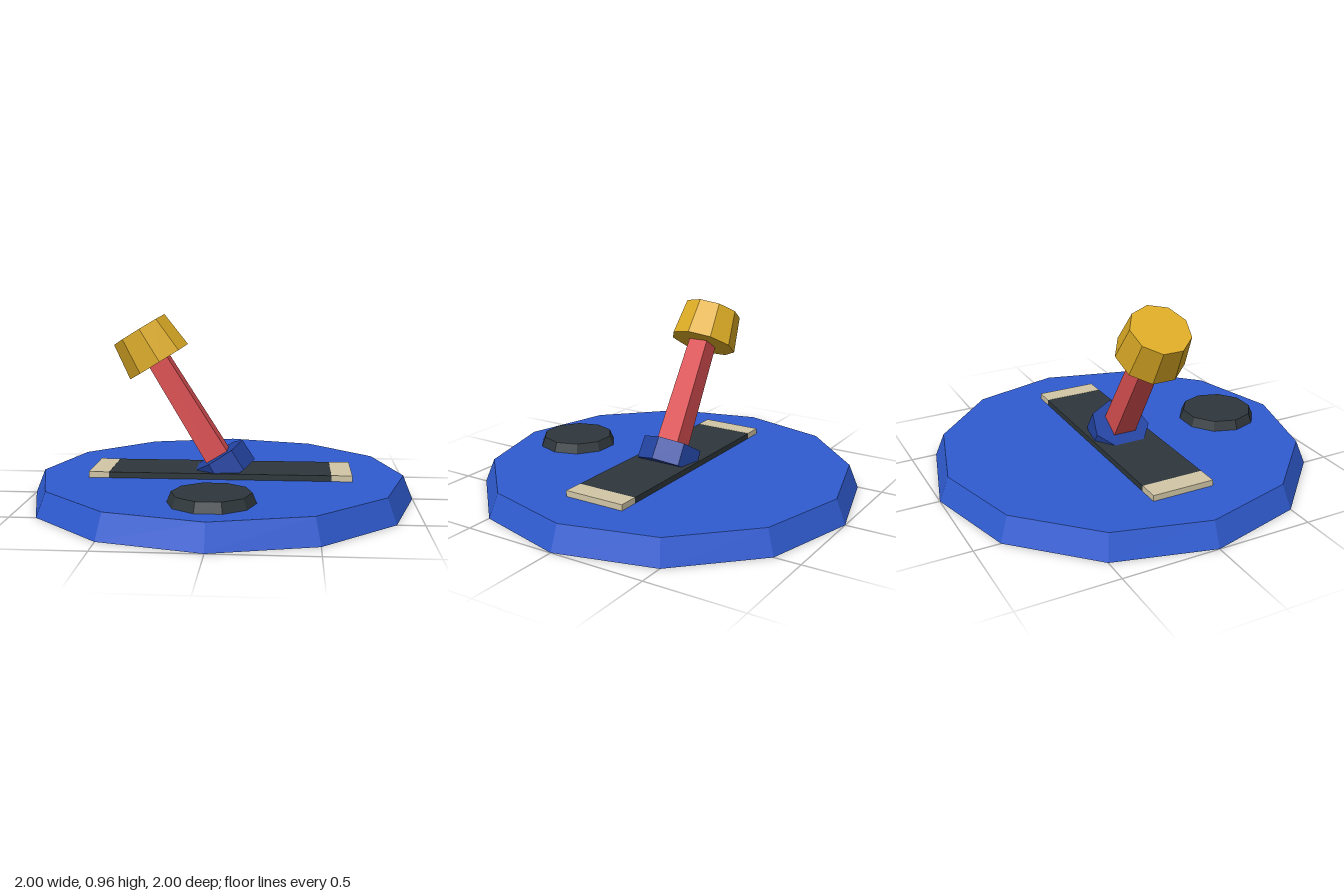
import * as THREE from 'three';

function paint(name, color) {
  const m = new THREE.MeshStandardMaterial({ color, flatShading: true });
  m.name = name;
  return m;
}

export function createModel() {
  const blue = paint('base blue', 0x2f5bd0);
  const navy = paint('collar navy', 0x2343a0);
  const charcoal = paint('charcoal', 0x2f373c);
  const cream = paint('cream', 0xd2c6a6);
  const red = paint('lever red', 0xdc5053);
  const gold = paint('knob gold', 0xdcab26);

  const model = new THREE.Group();
  model.name = 'leverSwitch';

  const add = (parent, name, geometry, material, x, y, z) => {
    const mesh = new THREE.Mesh(geometry, material);
    mesh.name = name;
    mesh.position.set(x, y, z);
    parent.add(mesh);
    return mesh;
  };
  // Tapered prism; start turns the first corner around the axis
  const prism = (top, bottom, height, sides, start) =>
    new THREE.CylinderGeometry(top, bottom, height, sides, 1, false, start);

  // Twelve-sided base
  add(model, 'base', prism(0.95, 1, 0.125, 12, 0), blue, 0, 0.0625, 0);

  // Slot plate with a cream stop at each end
  add(model, 'slotPlate', new THREE.BoxGeometry(1.14, 0.035, 0.33), charcoal, 0, 0.1375, 0);
  for (const side of [-1, 1]) {
    add(model, side > 0 ? 'leftStop' : 'rightStop',
      new THREE.BoxGeometry(0.106, 0.035, 0.33), cream, side * 0.623, 0.1385, 0);
  }

  // Button near the front edge
  add(model, 'button', prism(0.19, 0.21, 0.05, 10, Math.PI / 2), charcoal, 0, 0.15, 0.622);

  // Lever assembly, tilted to the model's right
  const lever = new THREE.Group();
  lever.name = 'lever';
  lever.position.set(0, 0.178, 0);
  lever.rotation.z = 0.55;
  model.add(lever);
  add(lever, 'collar', prism(0.158, 0.161, 0.12, 7, Math.PI / 2), navy, 0, -0.013, 0);
  add(lever, 'shaft', prism(0.076, 0.09, 0.66, 4, Math.PI / 4), red, 0.004, 0.32, 0);
  add(lever, 'knob', prism(0.155, 0.178, 0.195, 9, Math.PI / 2), gold, 0, 0.724, 0);

  return model;
}
